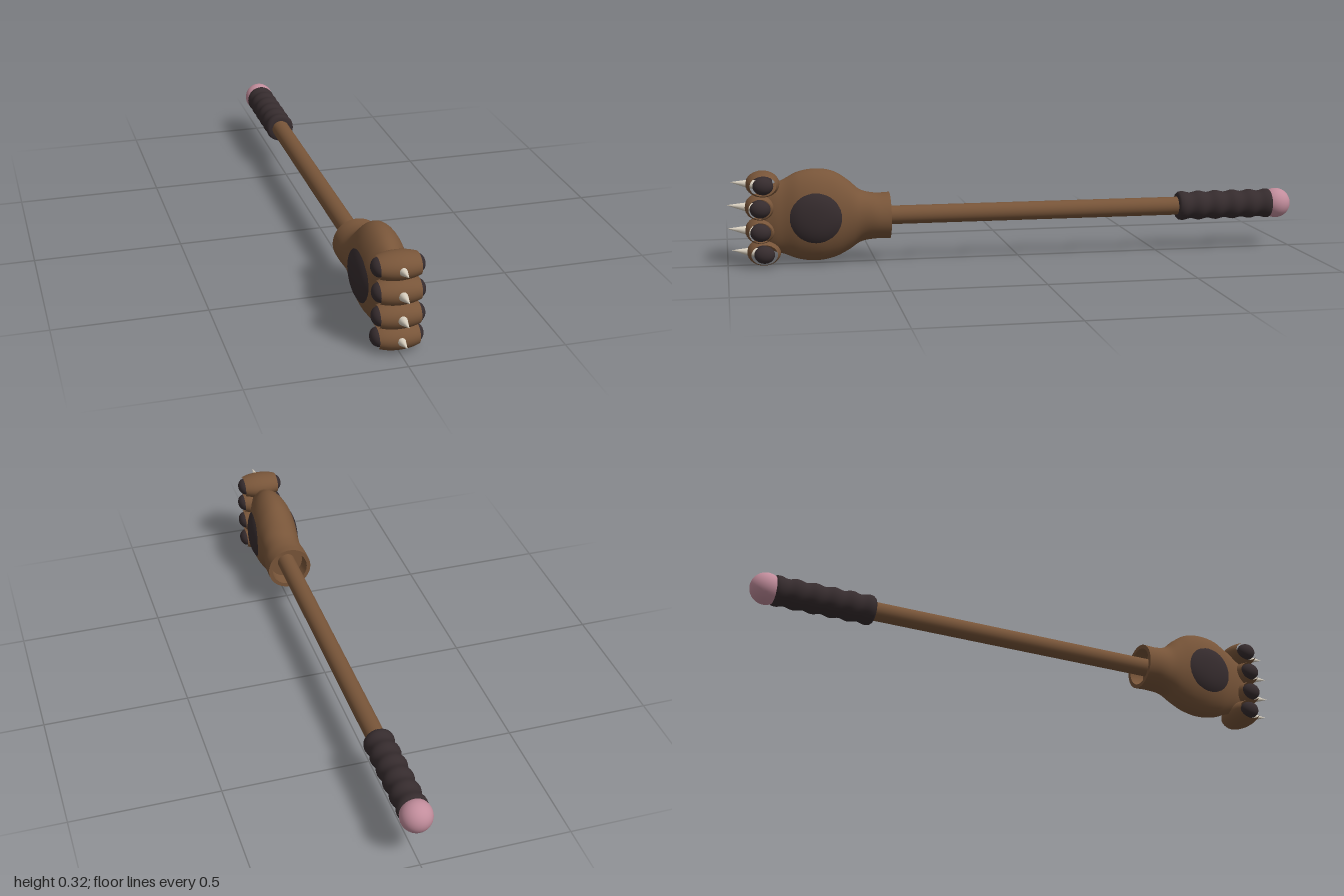
import * as THREE from 'three';

const AXIS_Y = 0.158;

// Paw outline along z: [z, half width, half height, centre height]
const SECTIONS = [
  [0.45, 0.08, 0.08, 0.158], [0.5, 0.08, 0.079, 0.158], [0.55, 0.073, 0.09, 0.16],
  [0.59, 0.075, 0.12, 0.164], [0.64, 0.081, 0.148, 0.168], [0.7, 0.084, 0.158, 0.168],
  [0.76, 0.075, 0.15, 0.167], [0.81, 0.056, 0.128, 0.164], [0.85, 0.045, 0.112, 0.162],
  [0.88, 0.03, 0.08, 0.162], [0.89, 0.001, 0.001, 0.162],
];

// Smoothly interpolated outline at a given z
function sectionAt(z) {
  const n = SECTIONS.length;
  let i = 0;
  while (i < n - 2 && SECTIONS[i + 1][0] < z) i++;
  const a = SECTIONS[Math.max(i - 1, 0)], b = SECTIONS[i];
  const c = SECTIONS[i + 1], d = SECTIONS[Math.min(i + 2, n - 1)];
  const h = c[0] - b[0], t = (z - b[0]) / h;
  return b.map((v, k) => {
    if (k === 0) return z;
    const m0 = (c[k] - a[k]) / (c[0] - a[0]) * h;
    const m1 = (d[k] - v) / (d[0] - b[0]) * h;
    const t2 = t * t, t3 = t2 * t;
    return Math.max(0.0005, (2 * t3 - 3 * t2 + 1) * v + (t3 - 2 * t2 + t) * m0
      + (3 * t2 - 2 * t3) * c[k] + (t3 - t2) * m1);
  });
}

// Skin a list of elliptical sections
function loft(sections, sides = 48) {
  const pos = [], index = [];
  sections.forEach(([z, rx, ry, cy], i) => {
    for (let j = 0; j < sides; j++) {
      const a = j / sides * Math.PI * 2;
      pos.push(rx * Math.cos(a), cy + ry * Math.sin(a), z);
      if (i === sections.length - 1) continue;
      const p = i * sides + j, q = i * sides + (j + 1) % sides;
      index.push(p, q, p + sides, q, q + sides, p + sides);
    }
  });
  return surface(pos, index);
}

function surface(pos, index) {
  const g = new THREE.BufferGeometry();
  g.setAttribute('position', new THREE.Float32BufferAttribute(pos, 3));
  g.setIndex(index);
  g.computeVertexNormals();
  return g;
}

// Domed disc that follows the side of the paw
function palmPad(side) {
  const rings = 12, sides = 40, pos = [], index = [];
  for (let i = 0; i <= rings; i++) {
    const r = i / rings;
    for (let j = 0; j < sides; j++) {
      const a = j / sides * Math.PI * 2;
      const y = 0.166 + 0.088 * r * Math.sin(a), z = 0.705 + 0.09 * r * Math.cos(a);
      const [, rx, ry, cy] = sectionAt(z);
      const x = rx * Math.sqrt(Math.max(0, 1 - ((y - cy) / ry) ** 2));
      pos.push(side * (x + 0.008 * (1 - r ** 4) - 0.001), y, z);
      if (i === rings) continue;
      const p = i * sides + j, q = i * sides + (j + 1) % sides;
      const tris = [p, q, p + sides, q, q + sides, p + sides];
      index.push(...(side > 0 ? tris : tris.reverse()));
    }
  }
  return surface(pos, index);
}

// Lathe whose axis runs along z
const latheZ = (pts, sides = 32) =>
  new THREE.LatheGeometry(pts.map(([r, y]) => new THREE.Vector2(r, y)), sides).rotateX(Math.PI / 2);

export function createModel() {
  const model = new THREE.Group();
  const material = (name, color) => {
    const m = new THREE.MeshStandardMaterial({ color });
    m.name = name;
    return m;
  };
  const fur = material('brown fur', 0x785539);
  const dark = material('dark pad', 0x362c2e);
  const pink = material('pink', 0xc28d9c);
  const ivory = material('ivory claw', 0xd9d0c0);
  const add = (name, geometry, mat, parent = model) => {
    const mesh = new THREE.Mesh(geometry, mat);
    mesh.name = name;
    parent.add(mesh);
    return mesh;
  };

  // Handle
  add('shaft', new THREE.CylinderGeometry(0.032, 0.032, 1.12, 32).rotateX(Math.PI / 2), fur)
    .position.set(0, AXIS_Y, -0.05);

  // Ribbed grip and end ball
  const gripPts = [[0.03, -0.925], [0.045, -0.925], [0.051, -0.918]];
  for (let i = 0; i <= 40; i++) {
    const t = i / 40;
    gripPts.push([0.049 + 0.003 * Math.cos(t * Math.PI * 10), -0.91 + 0.315 * t]);
  }
  gripPts.push([0.05, -0.585], [0.044, -0.578], [0.03, -0.578]);
  add('grip', latheZ(gripPts), dark).position.y = AXIS_Y;
  add('endBall', new THREE.SphereGeometry(0.053, 32, 20), pink).position.set(0, AXIS_Y, -0.947);

  // Paw body with hollow cuff
  const paw = new THREE.Group();
  paw.name = 'paw';
  model.add(paw);
  const outline = [];
  for (let i = 0; i <= 60; i++) outline.push(sectionAt(0.45 + 0.44 * i / 60));
  add('pawBody', loft(outline), fur, paw);
  const ring = (z, r) => [z, r, r, AXIS_Y];
  add('cuffRim', loft([ring(0.45, 0.066), ring(0.45, 0.08)]), fur, paw);
  add('cuffInside', loft([ring(0.5, 0.062), ring(0.45, 0.066)]), fur, paw);
  add('cuffFloor', loft([ring(0.5, 0.001), ring(0.5, 0.062)]), fur, paw);
  for (const side of [1, -1]) add(side > 0 ? 'leftPad' : 'rightPad', palmPad(side), dark, paw);

  // Toes: fur barrel across x, dark tip at each end, claw in front
  const barrel = [];
  for (let i = -12; i <= 12; i++) {
    const x = 0.064 * i / 12;
    barrel.push(new THREE.Vector2(0.044 * Math.sqrt(1 - (x / 0.1) ** 2), x));
  }
  const barrelGeo = new THREE.LatheGeometry(barrel, 32).rotateZ(-Math.PI / 2);
  const tipGeo = new THREE.SphereGeometry(1, 28, 18).scale(0.026, 0.03, 0.03);
  const clawGeo = latheZ([[0.015, -0.02], [0.015, 0.01], [0.012, 0.025], [0.006, 0.05], [0, 0.075]], 16);
  [0.045, 0.12, 0.2, 0.278].forEach((y, i) => {
    const outer = i === 0 || i === 3;
    const toe = new THREE.Group();
    toe.name = 'toe' + (i + 1);
    toe.position.set(0, y, outer ? 0.878 : 0.889);
    paw.add(toe);
    add('toeBarrel', barrelGeo, fur, toe).scale.z = outer ? 1.3 : 1.15;
    for (const side of [1, -1]) {
      const tip = add('toePad', tipGeo, dark, toe);
      tip.position.x = side * 0.058;
      tip.scale.z = 1.15;
    }
    const claw = add('claw', clawGeo, ivory, toe);
    claw.position.z = outer ? 0.034 : 0.036;
    claw.rotation.x = -0.12;
  });
  return model;
}
